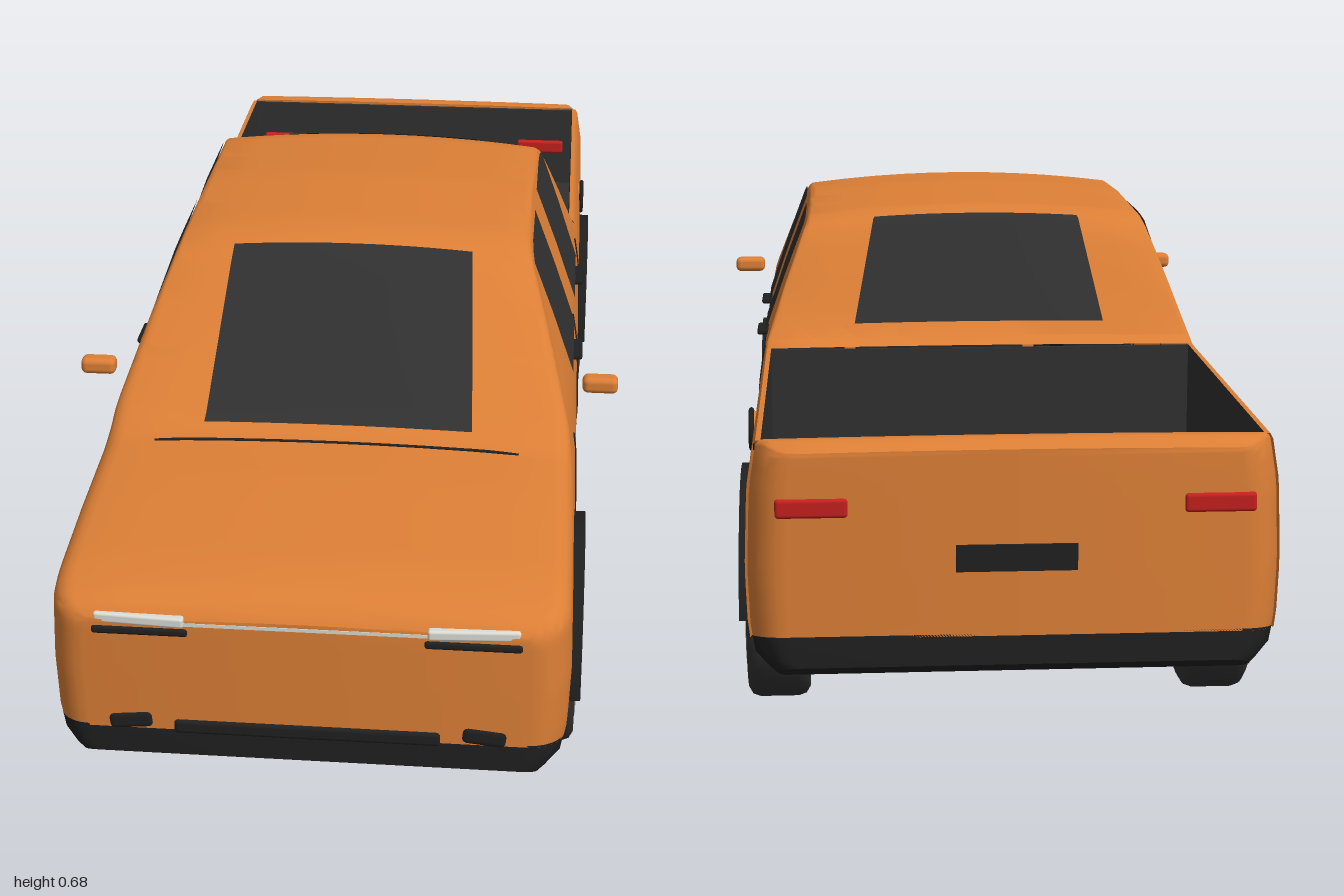
import * as THREE from 'three';
import { toCreasedNormals } from 'three/addons/utils/BufferGeometryUtils.js';
import { RoundedBoxGeometry } from 'three/addons/geometries/RoundedBoxGeometry.js';

const mat = (name, color, side = THREE.FrontSide) => {
  const m = new THREE.MeshStandardMaterial({ color, side });
  m.name = name;
  return m;
};
const paint = mat('orange paint', 0xdc7f36, THREE.DoubleSide);
const trim = mat('black trim', 0x202020, THREE.DoubleSide);
const liner = mat('bed liner', 0x303030, THREE.DoubleSide);
const glass = mat('dark glass', 0x303030, THREE.DoubleSide);
const rubber = mat('tyre rubber', 0x333333);
const alloy = mat('alloy', 0xa8a8a8);
const lamp = mat('headlamp', 0xdcdcd6);
const red = mat('tail lamp', 0xc4201e);

// Linear lookup in an ascending table of [key, value]
const look = (t, v) => {
  if (v <= t[0][0]) return t[0][1];
  for (let i = 1; i < t.length; i++) if (v <= t[i][0]) {
    const [a, p] = t[i - 1], [b, q] = t[i];
    return p + (q - p) * (v - a) / (b - a);
  }
  return t[t.length - 1][1];
};
const mix = THREE.MathUtils.lerp;
const span = (a, b, n) => Array.from({ length: n + 1 }, (_, i) => mix(a, b, i / n));

// Shape rules of the body
const WHEELS = [0.63, -0.61], WY = 0.148, ARCH = 0.18, BED = [-0.95, -0.31], END = 0.995;
const sideX = y => look([[.13, .28], [.15, .325], [.175, .348], [.21, .354], [.29, .357], [.4, .353], [.46, .343], [.56, .308], [.665, .268]], y);
const edgeY = z => look([[-.995, .455], [-.97, .467], [-.93, .463], [-.31, .463], [-.28, .475], [-.19, .642], [-.16, .656], [.08, .667],
  [.28, .661], [.33, .648], [.36, .628], [.565, .462], [.6, .448], [.75, .432], [.9, .415], [.96, .4], [.985, .388], [.995, .375]], z);
const crown = z => look([[-.3, .002], [-.18, .015], [.08, .018], [.33, .016], [.57, .008], [.7, .014], [.95, .012], [.995, .006]], z);
const edgeR = z => look([[-.2, .012], [.33, .014], [.6, .032], [.95, .03], [.995, .018]], z);
const endScale = z => {
  const e = Math.min(1, Math.max(0, (Math.abs(z) - .925) / (END - .925)));
  return 1 - .15 * (1 - Math.sqrt(1 - e * e));
};
const sillY = z => look([[0, .165], [.84, .168], [.95, .195], [.995, .205]], Math.abs(z));
const lowY = z => {
  let y = sillY(z);
  for (const w of WHEELS) {
    const d = Math.abs(z - w);
    if (d < ARCH) y = Math.max(y, WY + Math.sqrt(ARCH * ARCH - d * d));
  }
  return y;
};
const topY = (x, z) => edgeY(z) + crown(z) * (1 - (x / (sideX(edgeY(z)) * endScale(z))) ** 2);

// Skin through a list of cross-sections with equal point counts
function skin(sections, flip = false) {
  const n = sections[0].length, idx = [];
  for (let i = 0; i < sections.length - 1; i++) for (let j = 0; j < n - 1; j++) {
    const a = i * n + j, b = a + 1, c = a + n, d = c + 1;
    idx.push(...(flip ? [a, c, b, b, c, d] : [a, b, c, b, d, c]));
  }
  const g = new THREE.BufferGeometry();
  g.setAttribute('position', new THREE.Float32BufferAttribute(sections.flat(2), 3));
  g.setIndex(idx);
  return toCreasedNormals(g, 0.6);
}
const mirrorHalf = half => [...half, ...half.slice(0, -1).reverse().map(([x, y, z]) => [-x, y, z])];
const flatten = sec => sec.map(([, y, z]) => [0, y, z]);

// Outer half section, sill to top centre
function bodyHalf(z) {
  const h = edgeY(z), r = edgeR(z), c = endScale(z), p = [];
  for (const y of span(lowY(z), h - r, 12)) p.push([sideX(y) * c, y, z]);
  const x0 = sideX(h - r) * c;
  for (const a of [.4, .8, 1.2, Math.PI / 2]) p.push([x0 - r * (1 - Math.cos(a)), h - r + r * Math.sin(a), z]);
  const xe = x0 - r;
  for (const t of [.8, .6, .4, .2, 0]) p.push([xe * t, h + crown(z) * (1 - t * t), z]);
  return p;
}

export function createModel() {
  const model = new THREE.Group();
  model.name = 'pickupTruck';
  const add = (name, geo, m, parent = model) => {
    const mesh = new THREE.Mesh(geo, m);
    mesh.name = name;
    parent.add(mesh);
    return mesh;
  };
  const box = (name, m, w, h, d, x, y, z, r = 0) => {
    const mesh = add(name, r ? new RoundedBoxGeometry(w, h, d, 3, r) : new THREE.BoxGeometry(w, h, d), m);
    mesh.position.set(x, y, z);
    return mesh;
  };
  const line = (name, pts, r = .0025) => add(name, new THREE.TubeGeometry(
    new THREE.CatmullRomCurve3(pts.map(p => new THREE.Vector3(...p))), 24, r, 6), trim);
  const archZ = w => span(0, Math.PI, 24).map(a => w + ARCH * Math.cos(a));
  const asc = list => list.sort((a, b) => a - b);
  const ends = [.95, .96, .97, .98, .988, .993, END];

  // Cab and bonnet
  const cab = asc([...span(BED[1], .94, 50), ...archZ(WHEELS[0]), ...ends]).map(z => mirrorHalf(bodyHalf(z)));
  cab.push(flatten(cab[cab.length - 1]));
  add('cabAndBonnet', skin(cab), paint);

  // Tailgate
  const gate = asc(ends.map(z => -z)).map(z => mirrorHalf(bodyHalf(z)));
  gate.unshift(flatten(gate[0]));
  add('tailgate', skin(gate), paint);

  // Bed sides with inner walls
  const bedZ = asc([...span(...BED, 12), ...archZ(WHEELS[1])]);
  for (const s of [1, -1]) {
    add('bedSide', skin(bedZ.map(z => [...span(lowY(z), .456, 10).map(y => [s * sideX(y), y, z]),
      [s * .34, .463, z], [s * .333, .463, z]]), s < 0), paint);
    add('bedInnerWall', skin(bedZ.map(z => [[s * .333, .463, z], [s * .333, Math.max(.3, lowY(z)), z]]), s < 0), liner);
    for (const [a, b] of [[BED[0], -.705], [-.53, BED[1]]])
      box('bedFloorEdge', liner, .108, .01, b - a, s * .279, .297, (a + b) / 2);
  }
  box('bedFloor', liner, .45, .01, .64, 0, .297, -.63);
  box('bedFrontWall', liner, .666, .163, .006, 0, .38, BED[1] - .002);
  box('bedRearWall', liner, .666, .163, .006, 0, .38, BED[0] + .002);

  // Underbody, narrowed between the wheels
  const under = (z, inside) => {
    const low = look([[0, .13], [.9, .132], [.96, .145], [.995, .165]], Math.abs(z)), c = endScale(z), t = sillY(z) + .003;
    const half = inside ? [[.225, .3, z], [.225, .2, z], [.225, .15, z], [.225, low, z], [0, low, z]]
      : [[sideX(t) * c, t, z], [sideX(mix(t, low, .4)) * c, mix(t, low, .4), z],
        [sideX(mix(t, low, .75)) * c, mix(t, low, .75), z], [sideX(low) * c, low, z], [0, low, z]];
    return mirrorHalf(half);
  };
  const belly = asc([...ends, .9, .85]).map(z => -z).reverse().map(z => under(z, false));
  belly.unshift(flatten(belly[0]));
  for (const w of [...WHEELS].reverse())
    belly.push(under(w - ARCH, false), under(w - ARCH, true), under(w + ARCH, true), under(w + ARCH, false));
  for (const z of asc([...ends, .85, .9])) belly.push(under(z, false));
  belly.push(flatten(belly[belly.length - 1]));
  add('underbody', skin(belly, true), trim);

  // Wheel arches: outer flare and inner liner
  const flare = new THREE.Shape();
  flare.absarc(0, 0, .197, .12, Math.PI - .12, false);
  flare.absarc(0, 0, .17, Math.PI - .12, .12, true);
  const flareGeo = new THREE.ExtrudeGeometry(flare, { depth: .03, bevelEnabled: false, curveSegments: 32 }).rotateY(-Math.PI / 2);
  for (const s of [1, -1]) WHEELS.forEach((w, i) => {
    add('archFlare', flareGeo, trim).position.set(s > 0 ? .372 : -.342, WY, w);
    const arcs = i ? [[0, 1.05], [Math.PI - 1.05, Math.PI]] : [[0, Math.PI]];
    for (const [a, b] of arcs) add('archLiner', skin(span(a, b, 16).map(t =>
      [.225, .35].map(x => [s * x, WY + .178 * Math.sin(t), w + .178 * Math.cos(t)])), s < 0), trim);
  });

  // Wheels
  const tyre = toCreasedNormals(new THREE.LatheGeometry([[0, -.03], [.1, -.04], [.112, -.045], [.132, -.045], [.142, -.039], [.146, -.028],
    [.146, .028], [.142, .039], [.132, .045], [.112, .045], [.106, .028], [0, .02]]
    .map(p => new THREE.Vector2(...p)), 48).rotateZ(-Math.PI / 2), 0.7);
  for (const s of [1, -1]) for (const w of WHEELS) {
    const wheel = new THREE.Group();
    wheel.name = 'wheel';
    wheel.position.set(s * .32, .146, w);
    if (s < 0) wheel.rotation.y = Math.PI;
    add('tyre', tyre, rubber, wheel);
    add('rim', new THREE.TorusGeometry(.105, .006, 8, 48).rotateY(Math.PI / 2), alloy, wheel).position.x = .041;
    add('hub', new THREE.CylinderGeometry(.02, .024, .024, 24).rotateZ(-Math.PI / 2), alloy, wheel).position.x = .036;
    for (let k = 0; k < 5; k++) for (const t of [1, -1]) {
      const g = new THREE.BoxGeometry(.012, .09, .008).rotateX(t * .07);
      add('spoke', g.translate(0, .06, t * .011).rotateX(k * Math.PI * .4), alloy, wheel).position.x = .037;
    }
    model.add(wheel);
  }

  // Windscreen and rear window lie on the cab skin
  const pane = (name, z0, z1, w0, w1, dy, dz) => add(name, skin(span(z0, z1, 16).map((z, i) =>
    span(mix(w0, w1, i / 16), -mix(w0, w1, i / 16), 12).map(x => [x, topY(x, z) + dy, z + dz]))), glass);
  pane('windscreen', .335, .575, .185, .2, .005, .003);
  pane('rearWindow', -.272, -.185, .2, .165, .003, -.005);

  for (const s of [1, -1]) {
    // Side windows: [bottom z, top z] of the front and back edge
    for (const [f, b] of [[[.335, .332], [.135, .135]], [[.04, .04], [-.15, -.172]]])
      add('sideWindow', skin(span(.46, .653, 10).map((y, i) => span(0, 1, 6).map(t => {
        const z = mix(mix(...f, i / 10), mix(...b, i / 10), t);
        const yy = Math.min(y, edgeY(z) - .006);
        return [s * (sideX(yy) + .004), yy, z];
      })), s < 0), glass);
    // Door seams, handles and mirrors
    for (const [z, top] of [[.47, .42], [.1, .455], [-.24, .455]])
      line('doorSeam', span(.185, top, 8).map(y => [s * sideX(y), Math.max(y, lowY(z)), z]));
    for (const z of [.235, -.075]) box('doorHandle', trim, .018, .01, .065, s * .352, .453, z, .004);
    box('mirror', paint, .054, .026, .028, s * .388, .487, .432, .009);
    // Headlamps, lower lamp bars and fog pockets
    box('headlamp', lamp, .124, .015, .034, s * .225, .377, .981, .004).rotation.y = s * .06;
    box('lampBar', trim, .132, .013, .03, s * .225, .36, .983, .005);
    box('fogPocket', trim, .07, .034, .03, s * .242, .217, .982, .012).rotation.z = s * -.1;
    // Tail lamps reach through the tailgate
    box('tailLamp', red, .095, .026, .062, s * .268, .382, -.968, .005);
  }
  box('lightStrip', lamp, .36, .005, .012, 0, .373, .99);
  box('grilleBar', trim, .365, .022, .03, 0, .211, .984, .006);
  box('plate', trim, .16, .036, .012, 0, .312, -.993);
  line('bonnetSeam', span(-.27, .27, 12).map(x => [x, topY(x, .608) + (Math.abs(x) > .24 ? -.002 : 0), .608]));

  // Fuel cap on the left flank
  add('fuelCapRing', new THREE.TorusGeometry(.028, .004, 8, 32).rotateY(Math.PI / 2), trim).position.set(.356, .4, -.605);
  add('fuelCap', new THREE.CylinderGeometry(.026, .026, .016, 32).rotateZ(Math.PI / 2), paint).position.set(.352, .4, -.605);
  return model;
}
